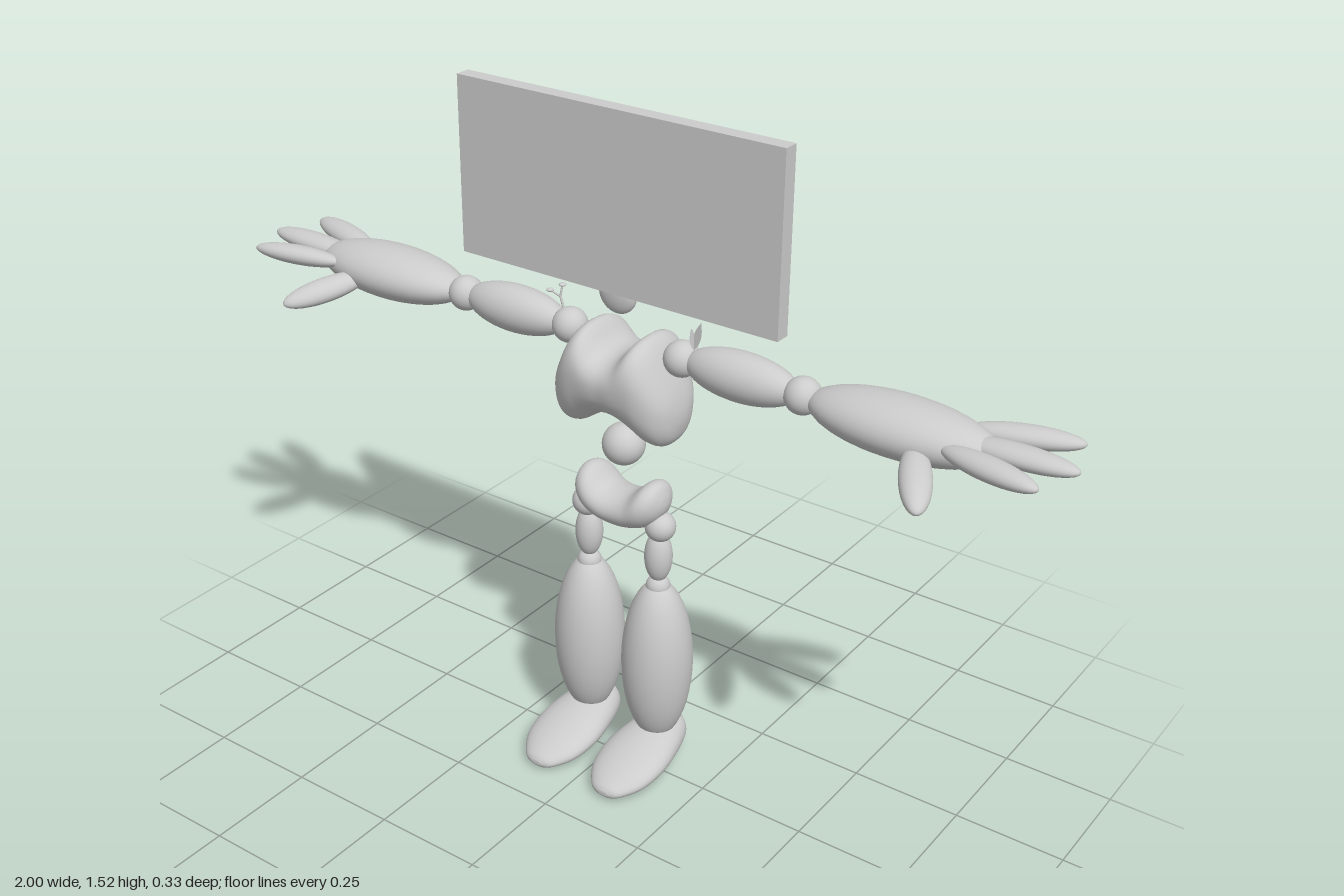
import * as THREE from 'three';
import { mergeVertices } from 'three/addons/utils/BufferGeometryUtils.js';

const grey = new THREE.MeshStandardMaterial({ color: 0xcccccc });
const thin = new THREE.MeshStandardMaterial({ color: 0xcccccc, side: THREE.DoubleSide });
const Z = -0.045; // depth of the body's centre line

function add(parent, name, geometry, pos = [0, 0, 0], material = grey) {
  const mesh = new THREE.Mesh(geometry, material);
  mesh.name = name;
  mesh.position.set(...pos);
  parent.add(mesh);
  return mesh;
}

function ellipsoid(parent, name, pos, rx, ry = rx, rz = rx) {
  return add(parent, name, new THREE.SphereGeometry(1, 32, 24).scale(rx, ry, rz), pos);
}

// Long ellipsoid from a to b, with given half height and half width
function digit(parent, name, a, b, ry, rz) {
  const from = new THREE.Vector3(...a), to = new THREE.Vector3(...b);
  const dir = to.clone().sub(from);
  const mesh = ellipsoid(parent, name, from.add(to).multiplyScalar(0.5).toArray(), dir.length() / 2, ry, rz);
  mesh.quaternion.setFromUnitVectors(new THREE.Vector3(1, 0, 0), dir.normalize());
  return mesh;
}

// Smooth body along x from sections [x, bottom, top, half width]
function loft(sections, taper = 0, power = 1, rows = 56, cols = 40) {
  const heights = new THREE.CatmullRomCurve3(sections.map(s => new THREE.Vector3(s[0], s[1], s[2])), false, 'catmullrom');
  const widths = new THREE.CatmullRomCurve3(sections.map(s => new THREE.Vector3(s[3], 0, 0)), false, 'catmullrom');
  const bend = v => Math.sign(v) * Math.abs(v) ** power;
  const points = [], index = [];
  for (let i = 0; i <= rows; i++) {
    const h = heights.getPoint(i / rows), w = widths.getPoint(i / rows).x;
    for (let j = 0; j < cols; j++) {
      const angle = (j / cols) * Math.PI * 2, c = bend(Math.cos(angle)), s = bend(Math.sin(angle));
      points.push(h.x, (h.y + h.z) / 2 + ((h.z - h.y) / 2) * c, w * s * (1 + taper * c));
      if (i < rows) {
        const a = i * cols + j, b = i * cols + ((j + 1) % cols);
        index.push(a, b, a + cols, b, b + cols, a + cols);
      }
    }
  }
  let geometry = new THREE.BufferGeometry();
  geometry.setAttribute('position', new THREE.Float32BufferAttribute(points, 3));
  geometry.setIndex(index);
  geometry = mergeVertices(geometry, 1e-5);
  geometry.computeVertexNormals();
  return geometry;
}

// Sections given from the centre outward, mirrored to the other side
const mirrored = half => [...half.slice(1).reverse().map(s => [-s[0], ...s.slice(1)]), ...half];

function rod(parent, name, a, b, r0, r1) {
  const from = new THREE.Vector3(...a), to = new THREE.Vector3(...b);
  const dir = to.clone().sub(from);
  const mesh = add(parent, name, new THREE.CylinderGeometry(r1, r0, dir.length(), 8), from.add(to).multiplyScalar(0.5).toArray());
  mesh.quaternion.setFromUnitVectors(new THREE.Vector3(0, 1, 0), dir.normalize());
}

function arm(side) {
  const g = new THREE.Group();
  g.name = side > 0 ? 'leftArm' : 'rightArm';
  const y = 1.012;
  ellipsoid(g, 'shoulder', [side * 0.142, y, Z], 0.039);
  ellipsoid(g, 'upperArm', [side * 0.285, y, Z], 0.132, 0.052, 0.052);
  ellipsoid(g, 'elbow', [side * 0.426, y, Z], 0.039);
  ellipsoid(g, 'forearm', [side * 0.64, y - 0.002, Z - 0.002], 0.2, 0.058, 0.083);
  // Three fingers and a thumb
  digit(g, 'backFinger', [side * 0.75, 1.02, -0.095], [side * 0.965, 1.025, -0.155], 0.022, 0.03);
  digit(g, 'middleFinger', [side * 0.76, 1.02, Z], [side, 1.025, Z], 0.022, 0.032);
  digit(g, 'frontFinger', [side * 0.75, 1.02, 0.005], [side * 0.965, 1.025, 0.058], 0.022, 0.03);
  digit(g, 'thumb', [side * 0.69, 1.0, -0.01], [side * 0.785, 0.963, 0.16], 0.024, 0.032);
  return g;
}

function leg(side) {
  const g = new THREE.Group();
  g.name = side > 0 ? 'leftLeg' : 'rightLeg';
  const x = side * 0.093;
  ellipsoid(g, 'hip', [side * 0.097, 0.605, Z + 0.003], 0.034);
  ellipsoid(g, 'thigh', [x, 0.53, Z + 0.003], 0.031, 0.062, 0.031);
  ellipsoid(g, 'knee', [x, 0.455, Z + 0.003], 0.027);
  ellipsoid(g, 'shin', [x, 0.262, Z + 0.003], 0.08, 0.205, 0.08);
  // Foot, thick at the heel and sloping to the toe
  const foot = add(g, 'foot', loft([
    [-0.115, 0.055, 0.055, 0], [-0.112, 0.03, 0.083, 0.028], [-0.09, 0.014, 0.1, 0.05],
    [-0.03, 0.007, 0.098, 0.069], [0.04, 0.003, 0.082, 0.079], [0.105, 0, 0.06, 0.069],
    [0.15, 0.003, 0.038, 0.04], [0.163, 0.01, 0.026, 0.018], [0.165, 0.018, 0.018, 0],
  ]), [x, 0, 0]);
  foot.rotation.y = -Math.PI / 2;
  return g;
}

export function createModel() {
  const model = new THREE.Group();
  model.name = 'screenHeadedFigure';

  // Flat screen head with a raised back
  const head = new THREE.Group();
  head.name = 'head';
  model.add(head);
  add(head, 'screen', new THREE.BoxGeometry(0.78, 0.385, 0.035), [0, 1.325, -0.018]);
  add(head, 'screenBack', new THREE.BoxGeometry(0.54, 0.245, 0.028), [0, 1.288, -0.048]);
  ellipsoid(head, 'neck', [0, 1.13, -0.02], 0.046, 0.046, 0.018);

  // Chest with a valley between the shoulders and two lower lobes
  add(model, 'chest', loft(mirrored([
    [0, 0.857, 1.0, 0.098], [0.03, 0.852, 1.01, 0.1], [0.062, 0.832, 1.046, 0.1], [0.09, 0.814, 1.035, 0.094],
    [0.118, 0.812, 0.985, 0.078], [0.138, 0.83, 0.94, 0.054], [0.147, 0.86, 0.905, 0.025], [0.149, 0.882, 0.882, 0],
  ]), 0.12, 0.85), [0, 0, -0.042]);
  ellipsoid(model, 'waist', [0, 0.775, -0.042], 0.047);

  // Crescent pelvis
  add(model, 'pelvis', loft(mirrored([
    [0, 0.585, 0.668, 0.06], [0.035, 0.589, 0.675, 0.062], [0.07, 0.6, 0.705, 0.062],
    [0.095, 0.62, 0.704, 0.047], [0.108, 0.642, 0.682, 0.022], [0.112, 0.66, 0.66, 0],
  ])), [0, 0, -0.042]);

  for (const side of [-1, 1]) model.add(arm(side), leg(side));

  // Forked sprig on the right shoulder
  const sprig = new THREE.Group();
  sprig.name = 'sprig';
  model.add(sprig);
  const fork = [-0.167, 1.07, Z];
  rod(sprig, 'stem', [-0.155, 1.035, Z], fork, 0.003, 0.0025);
  for (const tip of [[-0.164, 1.096, Z - 0.004], [-0.191, 1.08, Z + 0.004]]) {
    rod(sprig, 'twig', fork, tip, 0.0025, 0.002);
    ellipsoid(sprig, 'bud', tip, 0.008, 0.004, 0.008);
  }

  // Cluster of pointed leaves on the left shoulder
  const leaf = new THREE.Shape();
  leaf.moveTo(0, 0);
  leaf.quadraticCurveTo(0.016, 0.025, 0, 0.06);
  leaf.quadraticCurveTo(-0.016, 0.025, 0, 0);
  for (const [turn, lean, size] of [[0, -0.25, 1.1], [1.2, 0.15, 0.85], [-0.8, 0.45, 0.75]]) {
    const mesh = add(model, 'leaf', new THREE.ShapeGeometry(leaf, 8), [0.17, 1.038, Z], thin);
    mesh.rotation.set(0, turn, lean);
    mesh.scale.setScalar(size);
  }
  return model;
}
